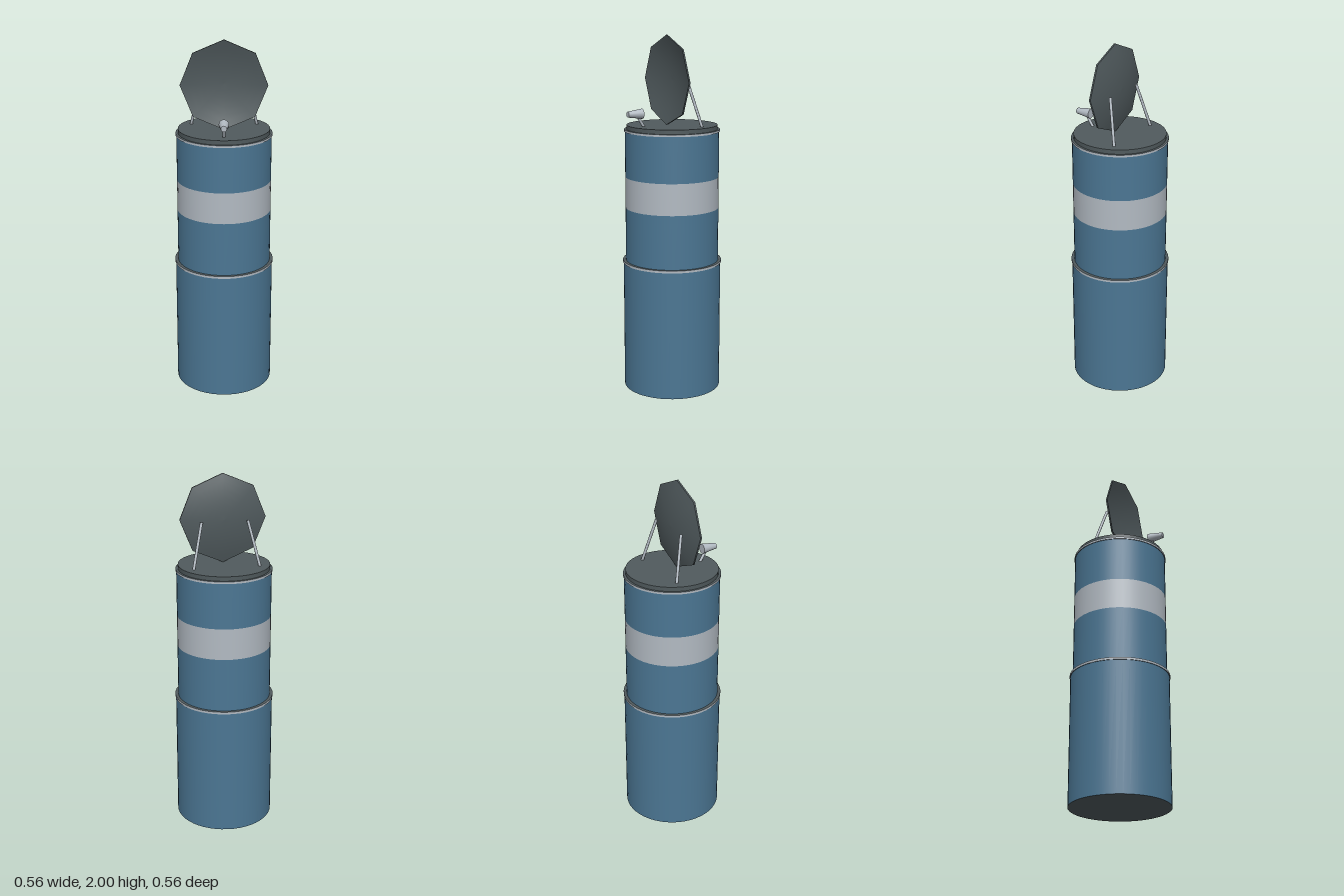
import * as THREE from 'three';

const mat = (name, color) => {
  const m = new THREE.MeshStandardMaterial({ color });
  m.name = name;
  return m;
};

export function createModel() {
  const group = new THREE.Group();
  const blue = mat('blue paint', 0x4b7693);
  const silver = mat('pale silver', 0xb2bac2);
  const dark = mat('dark grey', 0x505a5d);

  const add = (name, geometry, material, parent = group) => {
    const mesh = new THREE.Mesh(geometry, material);
    mesh.name = name;
    parent.add(mesh);
    return mesh;
  };

  // Upright drum section from y0 to y1: side in one colour, dark end faces
  const drum = (name, r, y0, y1, side, rTop = r) => {
    const g = new THREE.CylinderGeometry(rTop, r, y1 - y0, 48);
    g.translate(0, (y0 + y1) / 2, 0);
    return add(name, g, [side, dark, dark]);
  };

  // Round rod between two points
  const rod = (name, a, b, rA, rB, parent = group, sides = 12) => {
    const p = new THREE.Vector3(...a), q = new THREE.Vector3(...b);
    const d = q.clone().sub(p);
    const mesh = add(name, new THREE.CylinderGeometry(rB, rA, d.length(), sides), silver, parent);
    mesh.position.copy(p).add(q).multiplyScalar(0.5);
    mesh.quaternion.setFromUnitVectors(new THREE.Vector3(0, 1, 0), d.normalize());
    return mesh;
  };

  // Stacked body
  drum('lowerBody', 0.275, 0, 0.73, blue);
  drum('lowerRim', 0.279, 0.73, 0.743, silver);
  drum('upperBodyBottom', 0.262, 0.743, 1.045, blue);
  drum('stripe', 0.262, 1.045, 1.22, silver);
  drum('upperBodyTop', 0.262, 1.22, 1.474, blue);
  drum('upperRim', 0.266, 1.474, 1.486, silver);
  drum('lid', 0.253, 1.486, 1.51, dark);

  // Eight-sided dish: shallow bowl, rim and hollow front, opening towards +z
  const dish = new THREE.Group();
  dish.name = 'dish';
  dish.position.set(0, 1.755, 0);
  dish.scale.x = 0.97;
  group.add(dish);
  const R = 0.245;
  const bowl = (radius, base, depth) => Array.from({ length: 7 }, (_, i) =>
    new THREE.Vector2(radius * i / 6, base + depth * (i / 6) ** 2));
  const shell = (name, points) =>
    add(name, new THREE.LatheGeometry(points, 8).rotateX(Math.PI / 2), dark, dish);
  shell('dishBack', bowl(R, -0.01, 0.038));
  shell('dishRim', [new THREE.Vector2(R, 0.028), new THREE.Vector2(R, 0.037)]);
  shell('dishFront', bowl(R, -0.003, 0.04).reverse());

  // Rear struts holding the dish
  for (const s of [-1, 1]) {
    rod(s > 0 ? 'leftStrut' : 'rightStrut',
      [s * 0.183, 1.505, -0.082], [s * 0.127, 1.75, -0.022], 0.008, 0.008);
  }

  // Receiver horn on a short slanted arm in front
  const receiver = new THREE.Group();
  receiver.name = 'receiver';
  group.add(receiver);
  rod('receiverArm', [0, 1.505, 0.178], [0, 1.575, 0.222], 0.008, 0.008, receiver);
  rod('receiverHorn', [0, 1.58, 0.19], [0, 1.58, 0.278], 0.028, 0.016, receiver, 16);

  return group;
}
